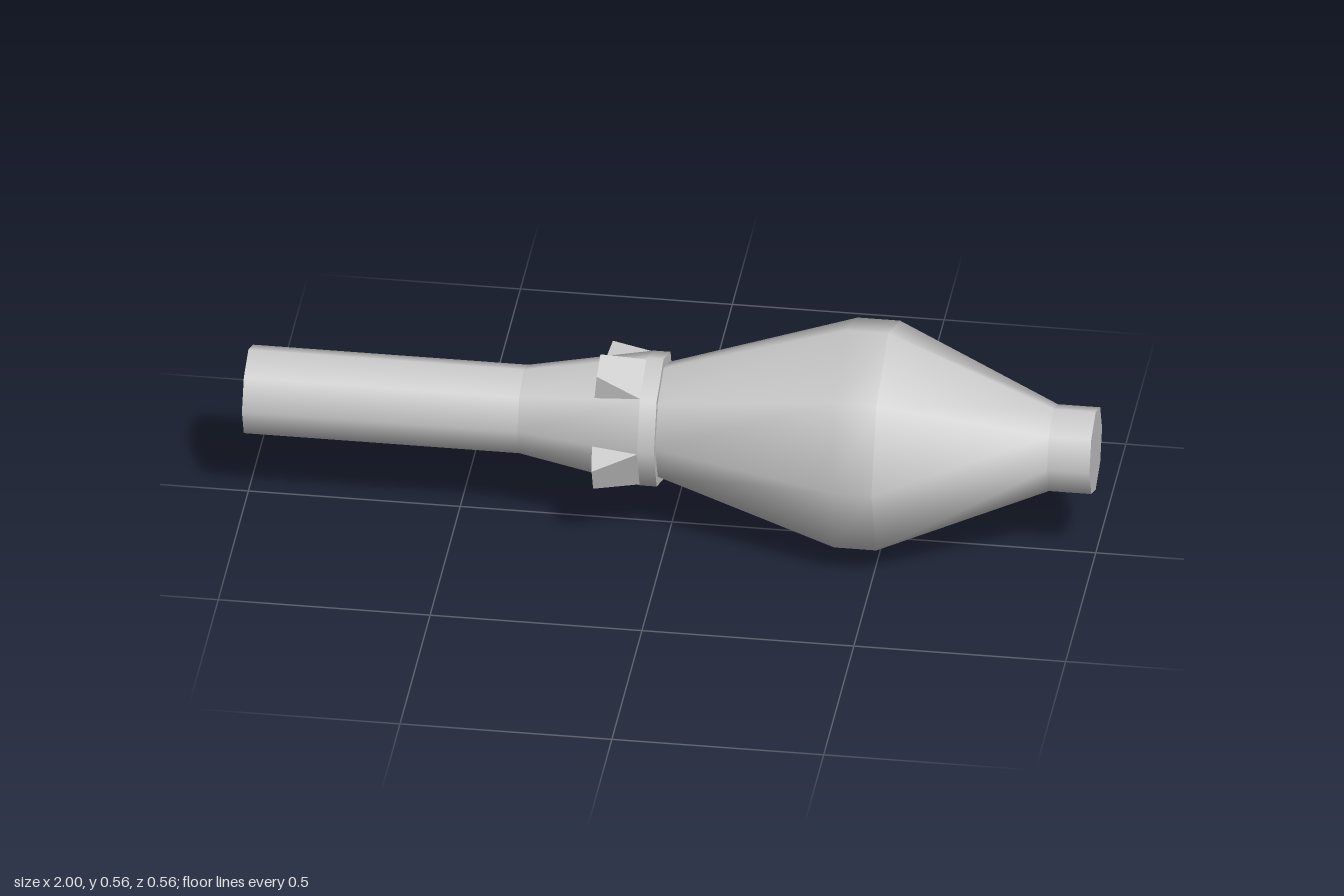
import * as THREE from 'three';

const AXIS_Y = 0.278;

export function createModel() {
  const model = new THREE.Group();
  const material = new THREE.MeshStandardMaterial({ color: 0xcccccc });

  // Eight-sided body sections as [x, radius]; smooth inside, sharp between them
  const sections = {
    rearCap: [[-1, 0], [-1, 0.107]],
    tube: [[-1, 0.107], [-0.35, 0.107]],
    neck: [[-0.35, 0.107], [-0.06, 0.163]],
    collar: [[-0.06, 0.163], [-0.02, 0.163]],
    collarStep: [[-0.02, 0.163], [-0.02, 0.139]],
    bulb: [[-0.02, 0.139], [0.41, 0.278], [0.51, 0.278]],
    noseCone: [[0.51, 0.278], [0.9, 0.105]],
    noseTip: [[0.9, 0.105], [1, 0.105]],
    frontCap: [[1, 0.105], [1, 0]],
  };
  for (const [name, profile] of Object.entries(sections)) {
    const points = profile.map(([x, r]) => new THREE.Vector2(r, x));
    const geometry = new THREE.LatheGeometry(points, 8);
    geometry.rotateZ(-Math.PI / 2);
    const mesh = new THREE.Mesh(geometry, material);
    mesh.name = name;
    mesh.position.y = AXIS_Y;
    model.add(mesh);
  }

  // Wedge fins flaring backwards from the collar, one on every other flat
  const finGeometry = createFin();
  for (let i = 0; i < 4; i++) {
    const fin = new THREE.Mesh(finGeometry, material);
    fin.name = 'fin';
    fin.position.y = AXIS_Y;
    fin.rotation.x = Math.PI / 8 + (i * Math.PI) / 2;
    model.add(fin);
  }
  return model;
}

// y points away from the axis, z runs across the fin
function createFin() {
  const corners = [
    [-0.17, 0.125, -0.052], [-0.17, 0.125, 0.052], // rear, at the neck
    [-0.163, 0.192, -0.033], [-0.163, 0.192, 0.033], // rear, outer edge
    [-0.06, 0.151, -0.058], [-0.06, 0.151, 0.058], // front, at the collar
  ];
  const faces = [
    0, 1, 3, 0, 3, 2, // rear
    2, 3, 5, 2, 5, 4, // outer
    1, 5, 3, 0, 2, 4, // sides
  ];
  const geometry = new THREE.BufferGeometry();
  const positions = faces.flatMap((i) => corners[i]);
  geometry.setAttribute('position', new THREE.Float32BufferAttribute(positions, 3));
  geometry.computeVertexNormals();
  return geometry;
}
